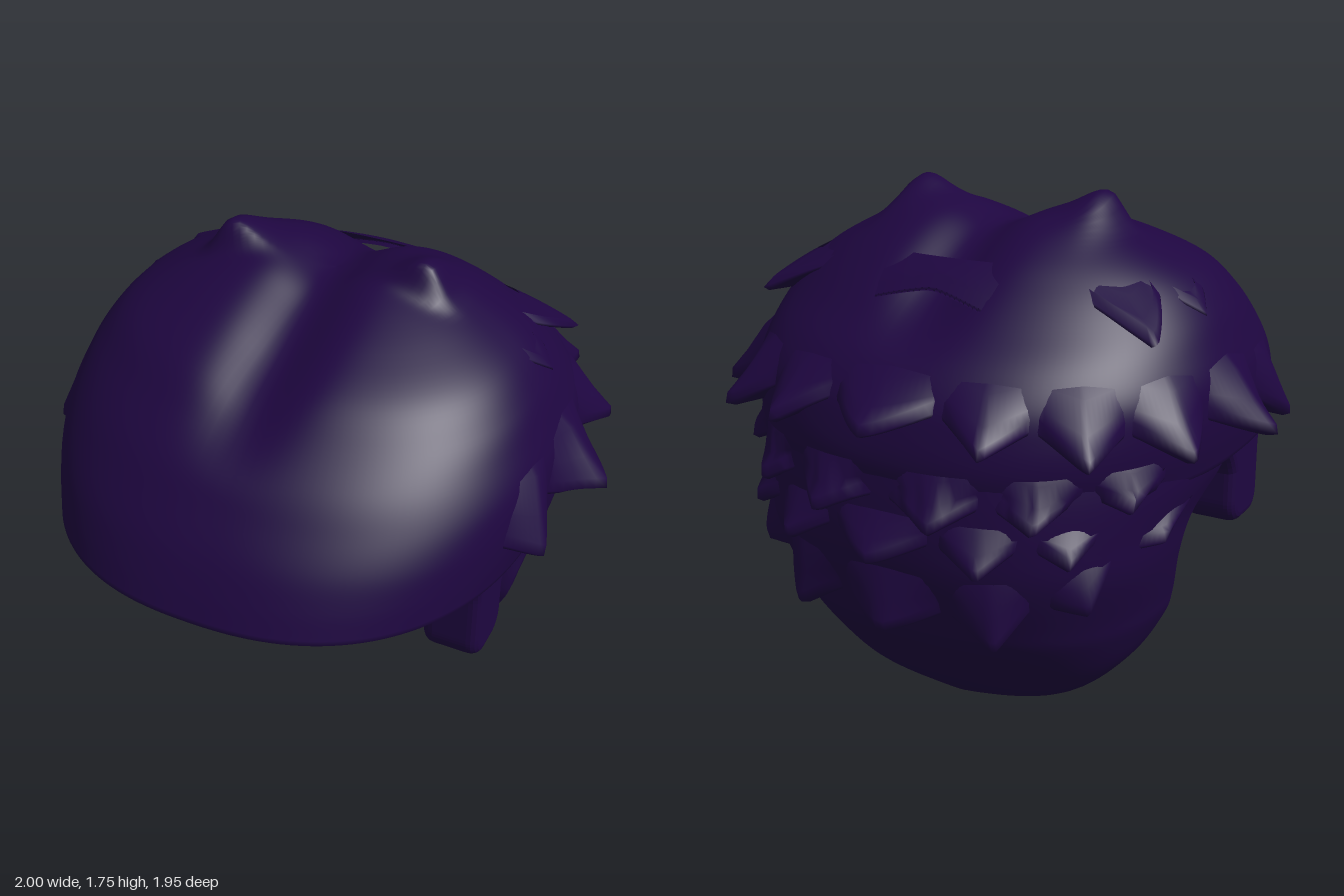
import * as THREE from 'three';

// Plan sections, bottom to top: [y, half width, front z, back z]
const CAP = [
  [0.9, 0.82, 0.97, -0.85], [1.0, 0.84, 0.93, -0.87], [1.1, 0.85, 0.88, -0.86],
  [1.2, 0.845, 0.81, -0.83], [1.3, 0.81, 0.73, -0.76], [1.4, 0.76, 0.62, -0.65],
  [1.5, 0.675, 0.5, -0.54], [1.58, 0.545, 0.34, -0.44], [1.65, 0.38, 0.16, -0.32],
  [1.69, 0.2, 0.04, -0.21], [1.7, 0, -0.09, -0.09],
];
const NAPE = [
  [0, 0.05, -0.34, -0.41], [0.03, 0.2, -0.3, -0.45], [0.09, 0.43, -0.23, -0.52],
  [0.2, 0.57, -0.14, -0.62], [0.35, 0.66, -0.09, -0.74], [0.45, 0.69, -0.09, -0.79],
  [0.62, 0.73, -0.14, -0.85], [0.75, 0.755, -0.1, -0.87], [0.88, 0.8, 0.02, -0.87],
  [1.0, 0.82, 0.1, -0.86],
];

// Smooth lookup in a table, keyed by row number or by height
function lookup(table, byHeight) {
  const keys = table.map((r, i) => (byHeight ? r[0] : i));
  const f = new THREE.CubicInterpolant(keys, table.flat(), 4, new Float32Array(4));
  return (k) => Array.from(f.evaluate(k));
}
const capRow = lookup(CAP, false);
const napeRow = lookup(NAPE, false);
const capAt = lookup(CAP, true);
const napeAt = lookup(NAPE, true);

const soft = (v) => Math.sign(v) * Math.abs(v) ** 0.85;

// Point on a section; angle 0 is the back, positive towards +x
function onSection([y, w, zf, zb], angle, zc, out = 0) {
  const c = soft(Math.cos(angle));
  const x = w * soft(Math.sin(angle));
  const z = (c > 0 ? zb - zc : zc - zf) * c;
  const len = Math.hypot(x, z) || 1;
  return new THREE.Vector3(x + (out * x) / len, y, zc + z + (out * z) / len);
}

// Skin a list of point rows, each running in rising angle, from top to bottom
function skin(rows, closed) {
  const n = rows[0].length;
  const index = [];
  for (let i = 0; i < rows.length - 1; i++) {
    for (let j = 0; j < (closed ? n : n - 1); j++) {
      const k = (j + 1) % n;
      const a = i * n + j, b = i * n + k, c = a + n, d = b + n;
      index.push(a, b, c, b, d, c);
    }
  }
  const g = new THREE.BufferGeometry().setFromPoints(rows.flat());
  g.setIndex(index);
  g.computeVertexNormals();
  return g;
}

// Parting along the middle and two crown tufts
function styleCap(p) {
  const ax = Math.abs(p.x);
  const high = THREE.MathUtils.smoothstep(p.y, 1.25, 1.6);
  const dx = (ax - 0.36) / (ax > 0.36 ? 0.06 : 0.11);
  const dz = (p.z + 0.02) / (p.z > -0.02 ? 0.045 : 0.16);
  p.y += 0.09 * Math.exp(-dx * dx - dz * dz) * high;
  p.y -= 0.08 * Math.exp(-((p.x / 0.14) ** 2)) * high;
  return p;
}

// Cap: dome with a rounded rim and a level underside
function capGeometry() {
  const segs = 160, steps = 70, rows = [];
  const ring = (k, scale, drop) => {
    const s = capRow(k);
    const zc = (s[2] + s[3]) / 2;
    return Array.from({ length: segs }, (_, j) => {
      const p = styleCap(onSection(s, (j / segs) * Math.PI * 2, zc));
      return p.set(p.x * scale, p.y - drop, p.z * scale);
    });
  };
  const top = CAP.length - 1;
  for (let i = 0; i <= steps; i++) rows.push(ring(top * (1 - i / steps), 1, 0));
  for (const scale of [0.985, 0.95, 0.85, 0.6, 0.3, 0]) rows.push(ring(0, scale, 0.012));
  return skin(rows, true);
}

// Mass of hair behind the neck, with a shallow hollow front and rounded front edges
function napeGeometry() {
  const arc = 48, steps = 48, rows = [];
  const top = NAPE.length - 1;
  for (let i = 0; i <= steps; i++) {
    const [y, w, zf, zb] = napeRow(top * (1 - i / steps));
    const round = Math.min(0.07, 0.4 * (zf - zb));
    const middle = Math.max(Math.min(zf, -0.24), zb + 0.06);
    const row = [];
    for (let j = 0; j <= arc; j++) {
      row.push(onSection([y, w, zf - round, zb], (j / arc - 0.5) * Math.PI, zf - round));
    }
    for (let j = 1; j < arc; j++) {
      const t = Math.cos((j / arc) * Math.PI);
      const z = THREE.MathUtils.lerp(middle, zf, Math.abs(t) ** 2.5);
      row.push(new THREE.Vector3(w * t, y, z - round * t ** 12));
    }
    rows.push(row);
  }
  // close the bottom
  rows.push(rows[rows.length - 1].map(() => new THREE.Vector3(0, 0, -0.375)));
  return skin(rows, true);
}

// Flared layer of locks; tips on one side are [degrees from the back, y, flare]
function layerGeometry(top, notch, tips) {
  const last = tips[tips.length - 1];
  const span = last[0] + 10;
  const knots = tips[0][0] > 0 ? [[-tips[0][0], tips[0][1], tips[0][2]], ...tips] : tips;
  const n = Math.round(span * 1.6);
  const rows = [[], [], [], [], [], [], []];
  for (let j = 0; j <= n; j++) {
    const deg = -span + (2 * span * j) / n;
    const d = Math.abs(deg);
    const a = THREE.MathUtils.degToRad(deg);
    let near = last, w = 1 - (d - last[0]) / 10, notchY = last[1] + notch;
    const i = knots.findIndex((k, q) => q < knots.length - 1 && d < knots[q + 1][0]);
    if (i >= 0) {
      const u = (d - knots[i][0]) / (knots[i + 1][0] - knots[i][0]);
      near = knots[u < 0.5 ? i : i + 1];
      w = Math.abs(1 - 2 * u);
      notchY = (knots[i][1] + knots[i + 1][1]) / 2 + notch;
    }
    w = Math.max(0, w) ** 1.15;
    const edgeY = THREE.MathUtils.lerp(notchY, near[1], w);
    const out = near[2] * w;
    const put = (row, y, off) => {
      const high = y > 0.92;
      const s = high ? capAt(y) : napeAt(y);
      rows[row].push(onSection(s, a, high ? (s[2] + s[3]) / 2 : s[2], off - 0.008));
    };
    const h = top(d) - edgeY;
    put(0, top(d), -0.03);
    put(1, edgeY + h * 0.66, out * 0.22);
    put(2, edgeY + h * 0.36, out * 0.55);
    put(3, edgeY + 0.045, out * 0.95);
    put(4, edgeY + 0.01, out);
    put(5, edgeY, out * 0.75);
    put(6, edgeY + 0.02, -0.04);
  }
  return skin(rows, false);
}

// Sideburn side outline, flaring into the cap, given thickness with rounded edges
function sideburnGeometry() {
  const s = new THREE.Shape();
  s.moveTo(-0.03, 1.0);
  s.lineTo(0.0, 0.92);
  s.quadraticCurveTo(0.16, 0.92, 0.22, 0.76);
  s.lineTo(0.22, 0.65);
  s.quadraticCurveTo(0.22, 0.59, 0.27, 0.59);
  s.lineTo(0.34, 0.59);
  s.quadraticCurveTo(0.385, 0.59, 0.385, 0.65);
  s.lineTo(0.385, 0.8);
  s.quadraticCurveTo(0.385, 0.9, 0.45, 0.92);
  s.lineTo(0.45, 1.0);
  const g = new THREE.ExtrudeGeometry(s, {
    depth: 0.12, bevelSize: 0.035, bevelThickness: 0.04, bevelSegments: 4, curveSegments: 10,
  });
  return g.translate(0, 0, -0.06).rotateY(-Math.PI / 2);
}

export function createModel() {
  const model = new THREE.Group();
  model.name = 'hair';
  const material = new THREE.MeshStandardMaterial({ color: 0x1e0640, side: THREE.DoubleSide });
  const add = (name, geometry) => {
    const mesh = new THREE.Mesh(geometry, material);
    mesh.name = name;
    model.add(mesh);
    return mesh;
  };

  add('cap', capGeometry());
  add('napeHair', napeGeometry());

  // Layers of locks around the sides and back
  add('crownLocks', layerGeometry(() => 1.56, 0.1, [
    [28, 1.38, 0], [56, 1.37, 0.11], [82, 1.4, 0.02],
  ]));
  add('upperLocks', layerGeometry(() => 1.34, 0.08, [
    [0, 1.11, 0.128], [20, 1.08, 0.118], [41, 1.05, 0.138], [64, 1.03, 0.148],
    [86, 1.02, 0.168], [101, 0.97, 0.1],
  ]));
  add('middleLocks', layerGeometry(() => 1.06, 0.08, [
    [11, 0.82, 0.09], [33, 0.83, 0.085], [55, 0.87, 0.08],
  ]));
  add('innerLocks', layerGeometry(() => 0.9, 0.08, [
    [0, 0.69, 0.1], [22, 0.68, 0.095], [44, 0.71, 0.08],
  ]));
  add('lowerLocks', layerGeometry((d) => 0.72 + 0.2 * (d / 80) ** 2, 0.09, [
    [0, 0.43, 0.115], [25, 0.41, 0.115], [50, 0.53, 0.085], [72, 0.72, 0.06],
  ]));

  // Sideburns in front of the ears
  for (const side of [1, -1]) {
    add(side > 0 ? 'leftSideburn' : 'rightSideburn', sideburnGeometry()).position.x = side * 0.66;
  }
  return model;
}
